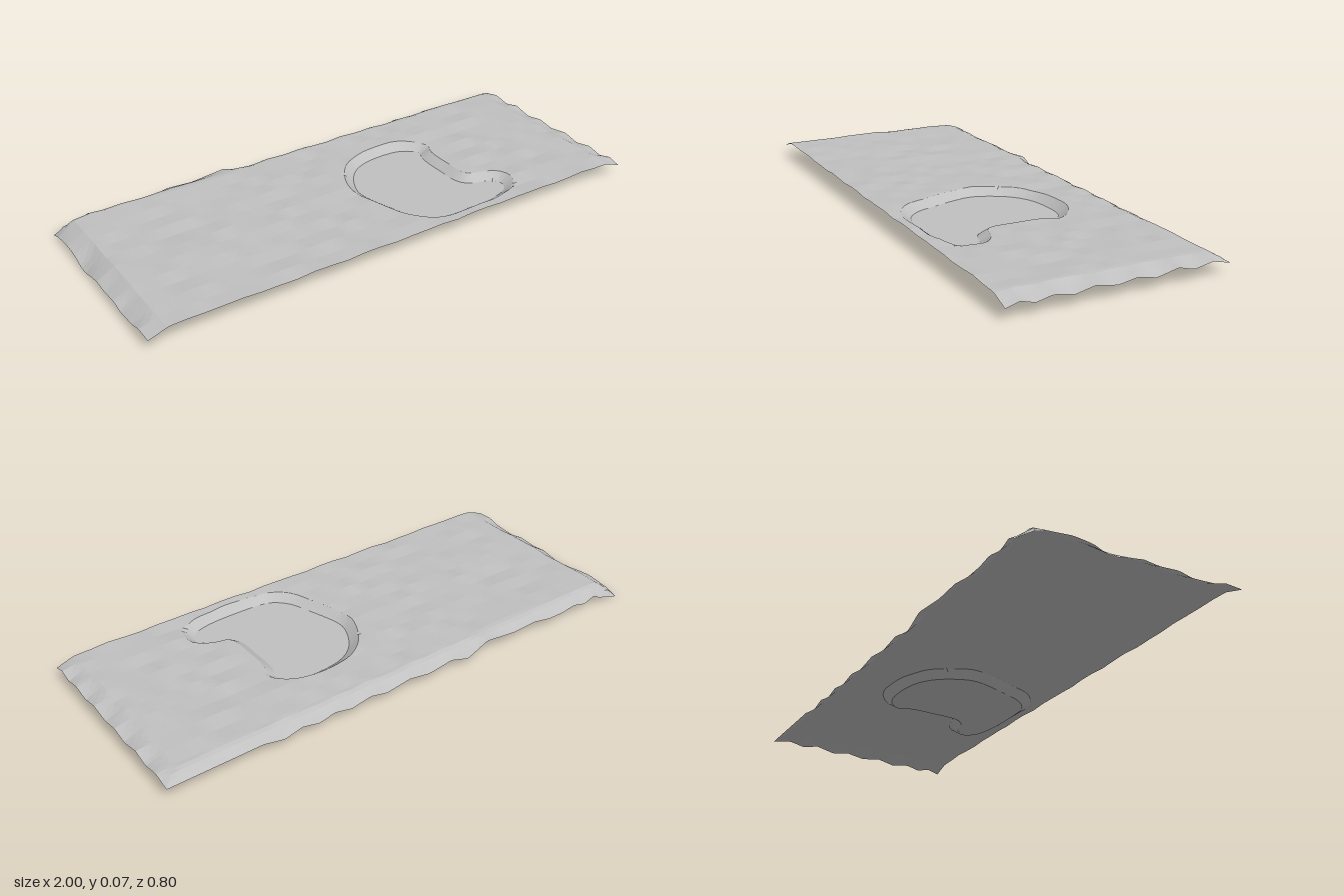
import * as THREE from 'three';

const STEP = 1 / 60, NX = 120, NZ = 48;   // fine sheet grid
const TOP = 0.068, FLOOR = 0.042, BANK = 0.035;

// Small repeatable noise: random values on a coarse lattice, blended between
const rand = (i, j) => {
  const s = Math.sin(i * 127.1 + j * 311.7) * 43758.5453;
  return s - Math.floor(s) - 0.5;
};
function noise(x, z) {
  const u = (x + 1) * 15, v = (z + 0.4) * 15;
  const i = Math.floor(u), j = Math.floor(v), a = u - i, b = v - j;
  return (rand(i, j) * (1 - a) + rand(i + 1, j) * a) * (1 - b)
    + (rand(i, j + 1) * (1 - a) + rand(i + 1, j + 1) * a) * b;
}

// Ragged border heights: [position along the edge, height]
const BACK = [[-1, 0], [-0.9, 0.03], [-0.87, 0.048], [-0.82, 0.03], [-0.76, 0.045], [-0.7, 0.035],
  [-0.63, 0.035], [-0.55, 0.05], [-0.45, 0.045], [-0.4, 0.05], [-0.31, 0.06], [-0.22, 0.02],
  [-0.14, 0.045], [-0.04, 0.03], [0.05, 0.045], [0.15, 0.03], [0.22, 0.045], [0.3, 0.03],
  [0.37, 0.045], [0.43, 0.03], [0.5, 0.045], [0.57, 0.028], [0.65, 0.045], [0.78, 0.043], [1, 0.04]];
const LEFT = [[-0.4, 0], [-0.35, 0.018], [-0.26, 0.03], [-0.19, 0.025], [-0.14, 0.006], [-0.1, 0.007],
  [-0.05, 0.02], [0, 0.03], [0.06, 0.025], [0.14, 0.033], [0.19, 0.022], [0.28, 0.03], [0.33, 0.045], [0.4, 0.043]];
const RIGHT = [[-0.4, 0.04], [-0.33, 0.056], [-0.26, 0.042], [-0.2, 0.058], [-0.12, 0.04], [-0.05, 0.054],
  [0.02, 0.042], [0.1, 0.055], [0.17, 0.04], [0.24, 0.054], [0.3, 0.04], [0.35, 0.054], [0.4, 0.04]];

function along(profile, p) {
  for (let k = 1; k < profile.length; k++) {
    const [p0, h0] = profile[k - 1], [p1, h1] = profile[k];
    if (p <= p1) return h0 + (h1 - h0) * (p - p0) / (p1 - p0);
  }
  return profile[profile.length - 1][1];
}

// Kidney-shaped pond outline, x and z
const outline = new THREE.CatmullRomCurve3([
  [0, 0.03], [0.02, -0.05], [0.08, -0.14], [0.16, -0.19], [0.28, -0.208], [0.37, -0.195], [0.43, -0.15],
  [0.45, -0.105], [0.43, -0.06], [0.425, 0.05], [0.435, 0.155], [0.5, 0.18], [0.55, 0.215], [0.56, 0.265],
  [0.53, 0.32], [0.46, 0.352], [0.3, 0.365], [0.15, 0.35], [0.08, 0.29], [0.04, 0.19],
].map(([x, z]) => new THREE.Vector3(x, 0, z)), true).getPoints(140);

// Distance to the outline (positive inside) and the inward direction
function pondDistance(x, z) {
  let best = 9, nx = 0, nz = 0, inside = false;
  for (let k = 1; k < outline.length; k++) {
    const a = outline[k - 1], b = outline[k], ex = b.x - a.x, ez = b.z - a.z;
    const t = THREE.MathUtils.clamp(((x - a.x) * ex + (z - a.z) * ez) / (ex * ex + ez * ez), 0, 1);
    const dx = x - a.x - ex * t, dz = z - a.z - ez * t, d = Math.hypot(dx, dz);
    if (d < best) { best = d; nx = dx; nz = dz; }
    if ((a.z > z) !== (b.z > z) && x < a.x + ex * (z - a.z) / ez) inside = !inside;
  }
  const sign = inside ? 1 : -1, len = sign * Math.max(best, 1e-6);
  return { d: sign * best, nx: nx / len, nz: nz / len };
}

// Height of the sheet at a point
function height(x, z, d) {
  let h = TOP + noise(x, z) * 0.008;
  h = THREE.MathUtils.lerp(h, FLOOR, THREE.MathUtils.clamp(d / BANK, 0, 1));
  const fall = (t, edge) => (t > 0 ? THREE.MathUtils.lerp(h, edge, Math.min(t, 1)) : h);
  return Math.min(
    fall((-0.36 - z) / 0.04, along(BACK, x)),
    fall((-x - 0.93) / 0.07, along(LEFT, z)),
    fall((x - 0.93) / 0.07, along(RIGHT, z)));
}

export function createModel() {
  const group = new THREE.Group();
  const grey = new THREE.MeshStandardMaterial({ color: 0xc0c0c0, side: THREE.DoubleSide, flatShading: true });
  grey.name = 'plain grey';

  // Grid points, snapped onto the top and foot of the pond bank
  const points = [];
  for (let j = 0; j <= NZ; j++) {
    for (let i = 0; i <= NX; i++) {
      let x = -1 + i * STEP, z = -0.4 + j * STEP;
      let { d, nx, nz } = pondDistance(x, z);
      for (const level of [0, BANK]) {
        if (Math.abs(d - level) < 0.0105) {
          x += nx * (level - d);
          z += nz * (level - d);
          d = level;
        }
      }
      points.push({ x, y: height(x, z, d), z, d });
    }
  }

  // Sort the triangles into ground, bank and floor
  const parts = { ground: [], pondBank: [], pondFloor: [] };
  const addTriangle = (...corners) => {
    const d = (corners[0].d + corners[1].d + corners[2].d) / 3;
    const part = d <= 1e-4 ? 'ground' : d < BANK - 1e-4 ? 'pondBank' : 'pondFloor';
    corners.forEach((p) => parts[part].push(p.x, p.y, p.z));
  };
  for (let j = 0; j < NZ; j++) {
    for (let i = 0; i < NX; i++) {
      const k = j * (NX + 1) + i;
      const a = points[k], b = points[k + 1], c = points[k + NX + 1], e = points[k + NX + 2];
      if ((i + j) % 2) {
        addTriangle(a, c, b);
        addTriangle(b, c, e);
      } else {
        addTriangle(a, c, e);
        addTriangle(a, e, b);
      }
    }
  }
  for (const [name, data] of Object.entries(parts)) {
    const geometry = new THREE.BufferGeometry();
    geometry.setAttribute('position', new THREE.Float32BufferAttribute(data, 3));
    geometry.computeVertexNormals();
    const mesh = new THREE.Mesh(geometry, grey);
    mesh.name = name;
    group.add(mesh);
  }
  group.name = 'terrainWithPond';
  return group;
}
